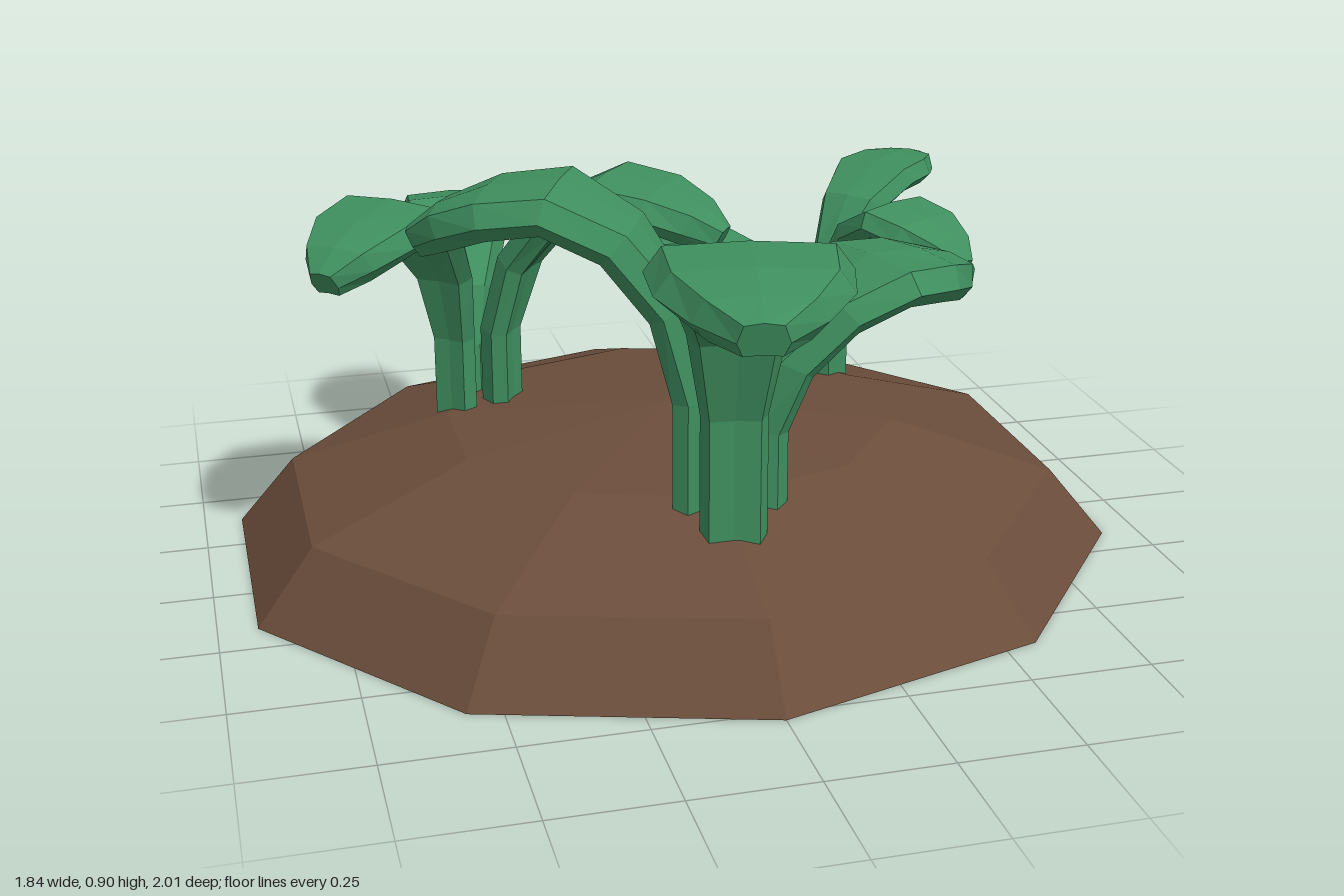
import * as THREE from 'three';

const soil = new THREE.MeshStandardMaterial({ color: 0x6b4d3b, side: THREE.DoubleSide });
soil.name = 'soil brown';
const green = new THREE.MeshStandardMaterial({ color: 0x3f8f5f });
green.name = 'leaf green';

function flat(geometry) {
  const g = geometry.toNonIndexed();
  g.computeVertexNormals();
  return g;
}

// Rows along a leaf: [reach fraction, height fraction, tip drop share, width fraction, inner face width]
const ROWS = [
  [0, 0, 0, 0.36, 0.4],
  [0, 0.42, 0, 0.36, 0.4],
  [0.18, 0.69, 0, 0.52, 0.55],
  [0.34, 0.89, 0, 0.76, 0.75],
  [0.55, 0.99, 0, 1, 0.82],
  [0.75, 1, 0.25, 0.93, 0.82],
  [0.9, 1, 0.62, 0.62, 0.8],
  [1, 1, 1, 0.24, 0.75],
];

// One leaf with its stalk: a closed tube of eight-sided sections bending outwards
function leafGeometry({ base, tip, top, drop, width, bow = 0 }, size) {
  const dx = tip[0] - base[0], dz = tip[1] - base[1];
  const reach = Math.hypot(dx, dz);
  const dir = new THREE.Vector3(dx / reach, 0, dz / reach);
  const side = new THREE.Vector3(-dir.z, 0, dir.x);
  const foot = 0.19;
  const path = ROWS.map(([f, h, d]) => new THREE.Vector2(
    Math.max(f * reach, 0.068 * size), foot + (top - foot) * h - drop * d));
  const pos = [], index = [], n = 8;

  ROWS.forEach(([f, , , w, inner], i) => {
    const t = path[Math.min(i + 1, path.length - 1)].clone().sub(path[Math.max(i - 1, 0)]).normalize();
    const half = width * w;
    const thick = 0.085 * size * (i === ROWS.length - 1 ? 0.75 : 1);
    const section = [[0, 0.5], [inner, 0.42], [1, -0.1], [0.75, -0.5],
      [0, -0.45], [-0.75, -0.5], [-1, -0.1], [-inner, 0.42]];
    for (const [a, b] of section) {
      const r = path[i].x - t.y * b * thick;
      const y = path[i].y + t.x * b * thick;
      const s = a * half + bow * Math.sin(Math.PI * f);
      pos.push(base[0] + dir.x * r + side.x * s, y, base[1] + dir.z * r + side.z * s);
    }
  });

  for (let i = 0; i < ROWS.length - 1; i++) {
    for (let j = 0; j < n; j++) {
      const a = i * n + j, b = i * n + (j + 1) % n;
      index.push(a, b, b + n, a, b + n, a + n);
    }
  }
  // End caps
  const last = (ROWS.length - 1) * n;
  for (let j = 1; j < n - 1; j++) {
    index.push(0, j + 1, j);
    index.push(last, last + j, last + j + 1);
  }
  const g = new THREE.BufferGeometry();
  g.setAttribute('position', new THREE.Float32BufferAttribute(pos, 3));
  g.setIndex(index);
  return flat(g);
}

const PLANTS = [
  { name: 'frontPlant', base: [0.01, 0.355], size: 1, leaves: [
    { tip: [-0.12, 1.0], top: 0.87, drop: 0.04, width: 0.185 },
    { tip: [-0.56, 0.1], top: 0.87, drop: 0.1, width: 0.15 },
    { tip: [0.56, 0.16], top: 0.69, drop: 0.07, width: 0.15, bow: 0.03 },
  ] },
  { name: 'backRightPlant', base: [-0.39, -0.34], size: 0.9, leaves: [
    { tip: [-0.37, -0.85], top: 0.62, drop: 0.09, width: 0.13 },
    { tip: [-0.74, 0.06], top: 0.76, drop: 0.08, width: 0.135 },
    { tip: [0.09, -0.01], top: 0.77, drop: 0.08, width: 0.14, bow: -0.035 },
  ] },
  { name: 'backLeftPlant', base: [0.4, -0.34], size: 0.75, leaves: [
    { tip: [0.77, -0.66], top: 0.67, drop: 0.02, width: 0.105 },
    { tip: [0.0, -0.54], top: 0.55, drop: 0.07, width: 0.105 },
    { tip: [0.61, 0.04], top: 0.68, drop: 0.08, width: 0.11 },
  ] },
];

export function createModel() {
  const model = new THREE.Group();
  model.name = 'seedlingMound';

  // Ten-sided soil mound, open underneath
  const profile = [[0.967, 0], [0.842, 0.15], [0.49, 0.265], [0, 0.305]]
    .map(([r, y]) => new THREE.Vector2(r, y));
  const moundGeometry = new THREE.LatheGeometry(profile, 10);
  moundGeometry.scale(1, 1, 0.92);
  moundGeometry.translate(0, 0, -0.11);
  const mound = new THREE.Mesh(flat(moundGeometry), soil);
  mound.name = 'soilMound';
  model.add(mound);

  // Three plants of three leaves each
  for (const { name, base, size, leaves } of PLANTS) {
    const plant = new THREE.Group();
    plant.name = name;
    for (const leaf of leaves) {
      const mesh = new THREE.Mesh(leafGeometry({ base, ...leaf }, size), green);
      mesh.name = 'leaf';
      plant.add(mesh);
    }
    model.add(plant);
  }
  return model;
}
